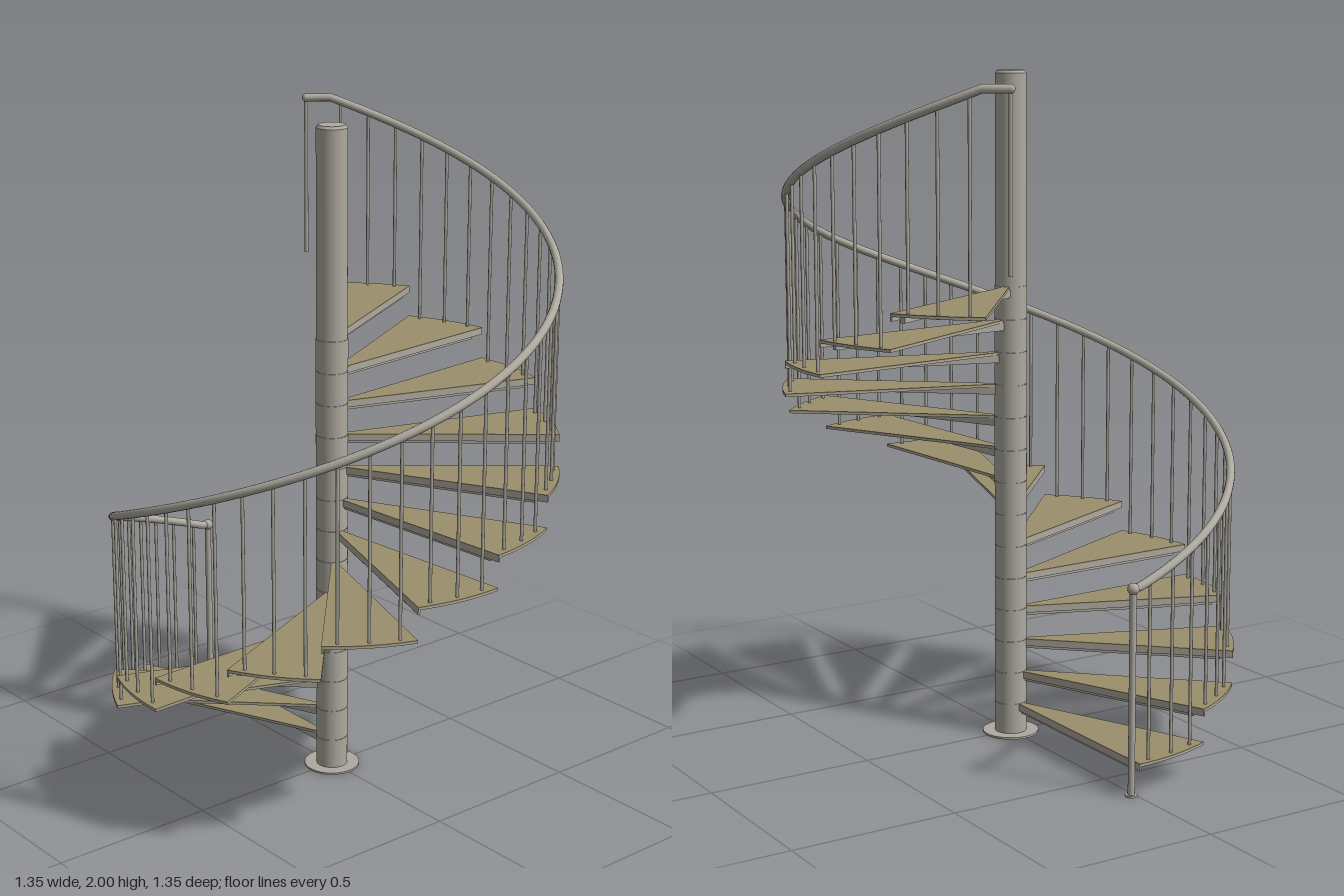
import * as THREE from 'three';

const STEPS = 14, RISE = 0.0981, TURN = THREE.MathUtils.degToRad(23);
const R_TREAD = 0.675, R_RAIL = 0.655;
const START = THREE.MathUtils.degToRad(-1.3);
const FLAT = THREE.MathUtils.degToRad(321);
const END = THREE.MathUtils.degToRad(327.6);

// Angles run from -x towards +z as the stair climbs
const railY = (a) => 0.602 + RISE * THREE.MathUtils.clamp(a, 0, FLAT) / TURN;
const onCircle = (a, y) => new THREE.Vector3(-Math.cos(a) * R_RAIL, y, Math.sin(a) * R_RAIL);

class RailCurve extends THREE.Curve {
  getPoint(t, target = new THREE.Vector3()) {
    const a = START + (END - START) * t;
    return target.copy(onCircle(a, railY(a)));
  }
}

export function createModel() {
  const model = new THREE.Group();
  model.name = 'spiralStaircase';
  const steel = new THREE.MeshStandardMaterial({ color: 0xaeaaa0 });
  steel.name = 'steel';
  const olive = new THREE.MeshStandardMaterial({ color: 0x9b8f6b });
  olive.name = 'oliveTread';

  const add = (parent, name, geometry, material = steel) => {
    const mesh = new THREE.Mesh(geometry, material);
    mesh.name = name;
    parent.add(mesh);
    return mesh;
  };
  // Upright round bar between two heights
  const bar = (parent, name, r, y0, y1, at, sides = 10) => {
    const mesh = add(parent, name, new THREE.CylinderGeometry(r, r, y1 - y0, sides));
    mesh.position.set(at.x, (y0 + y1) / 2, at.z);
    return mesh;
  };
  // Box given by its limits
  const box = (parent, name, x0, x1, y0, y1, z0, z1) => {
    const mesh = add(parent, name, new THREE.BoxGeometry(x1 - x0, y1 - y0, z1 - z0));
    mesh.position.set((x0 + x1) / 2, (y0 + y1) / 2, (z0 + z1) / 2);
  };

  // Central column with base flange and chamfered cap
  const column = [[0, 0], [0.085, 0], [0.085, 0.006], [0.046, 0.006], [0.046, 0.006],
    [0.046, 1.992], [0.046, 1.992], [0.04, 2], [0.04, 2], [0, 2]];
  const profile = column.map(([x, y]) => new THREE.Vector2(x, y));
  for (let i = 0; i < profile.length - 1; i++) {
    if (profile[i].equals(profile[i + 1])) continue;
    add(model, 'centralColumn', new THREE.LatheGeometry([profile[i], profile[i + 1]], 40));
  }

  // Wedge plate for one step
  const wedge = (depth) => {
    const shape = new THREE.Shape();
    shape.absarc(0, 0, R_TREAD, Math.PI, Math.PI + TURN, false);
    shape.absarc(0, 0, 0.04, Math.PI + TURN, Math.PI, true);
    const g = new THREE.ExtrudeGeometry(shape, { depth, bevelEnabled: false, curveSegments: 10 });
    return g.rotateX(-Math.PI / 2);
  };
  const panGeometry = wedge(0.006), coverGeometry = wedge(0.003);

  for (let i = 0; i < STEPS; i++) {
    const top = RISE * (i + 1);
    const step = new THREE.Group();
    step.name = 'step';
    step.position.y = top;
    step.rotation.y = TURN * i;
    model.add(step);
    add(step, 'treadPan', panGeometry).position.y = -0.009;
    add(step, 'treadCover', coverGeometry, olive).position.y = -0.003;
    box(step, 'nosing', -R_TREAD, -0.04, -0.022, -0.004, 0, 0.006);
    box(step, 'supportBeam', -0.635, -0.03, -0.031, -0.008, 0.008, 0.022);
    bar(step, 'hubSleeve', 0.048, 0.002 - RISE, 0, { x: 0, z: 0 }, 40);

    // Three balusters per step
    for (let j = 0; j < 3; j++) {
      const a = TURN * (i + (j + 0.5) / 3);
      bar(model, 'baluster', 0.005, top - 0.012, railY(a), onCircle(a, 0));
    }
  }

  // Handrail with rounded ends
  add(model, 'handrail', new THREE.TubeGeometry(new RailCurve(), 160, 0.0125, 12, false));
  for (const a of [START, END]) {
    add(model, 'handrailEnd', new THREE.SphereGeometry(a === START ? 0.017 : 0.0125, 16, 12))
      .position.copy(onCircle(a, railY(a)));
  }

  // Bottom newel with foot, and the hanging top post
  const foot = onCircle(START, 0);
  bar(model, 'newelPost', 0.01, 0, railY(START), foot, 16);
  bar(model, 'newelFoot', 0.018, 0, 0.006, foot, 20);
  bar(model, 'topPost', 0.006, 1.48, railY(END), onCircle(END, 0), 12);

  return model;
}
